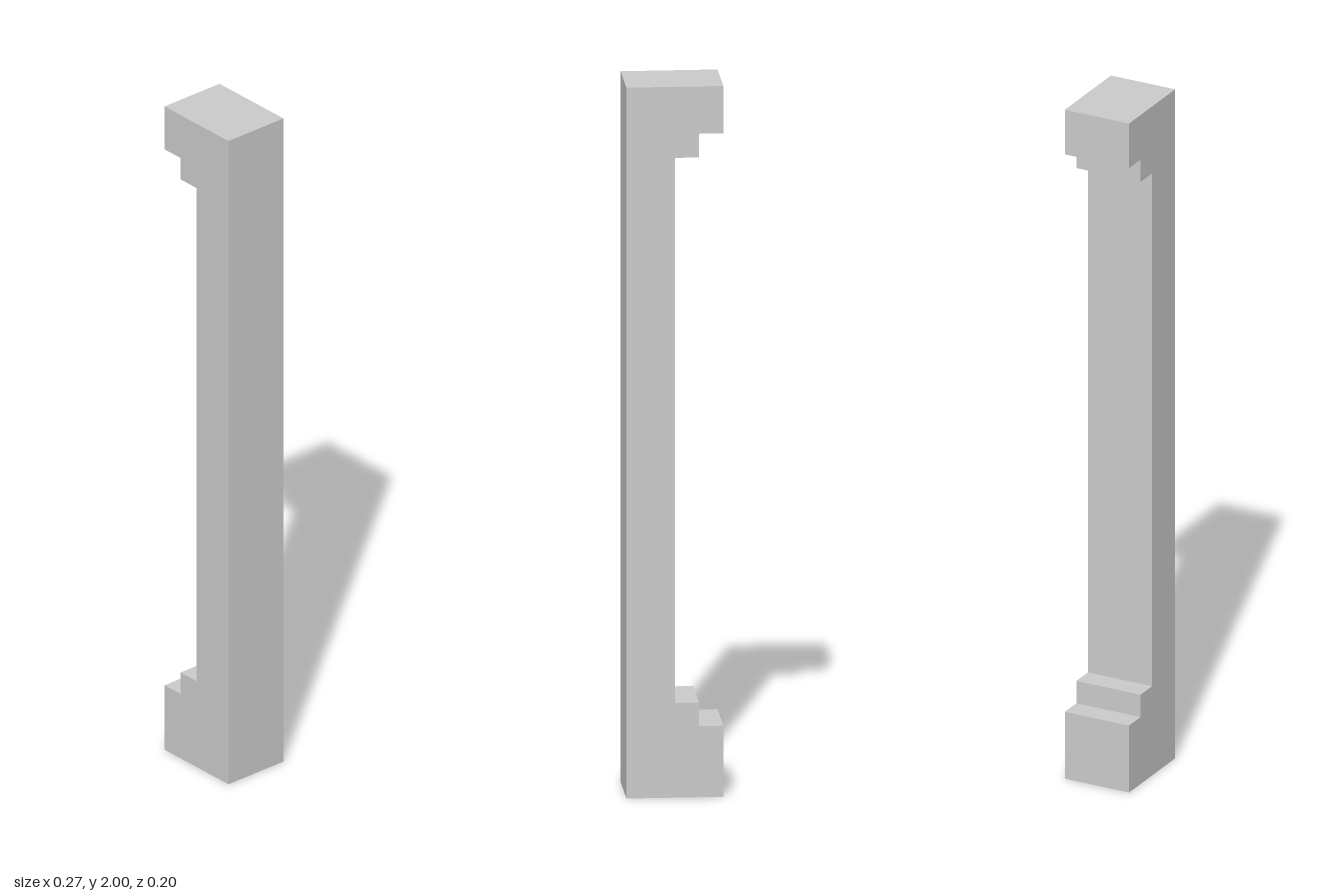
import * as THREE from 'three';

export function createModel() {
  const group = new THREE.Group();
  group.name = 'steppedPillar';

  // Everything sits on a grid of 1/15: outer face, step and shaft edge
  const u = 1 / 15;
  const depth = 3 * u;

  // Side outline, counter-clockwise from the bottom outer corner
  const outline = [
    [-2, 0], [2, 0], [2, 30], [-2, 30],
    [-2, 28], [-1, 28], [-1, 27], [0, 27], // stepped capital
    [0, 4], [-1, 4], [-1, 3], [-2, 3],     // stepped base
  ].map(([x, y]) => new THREE.Vector2(x * u, y * u));

  const geometry = new THREE.ExtrudeGeometry(new THREE.Shape(outline), {
    depth, bevelEnabled: false,
  });
  geometry.translate(0, 0, -depth / 2);

  const pillar = new THREE.Mesh(
    geometry,
    new THREE.MeshStandardMaterial({ color: 0xcccccc, flatShading: true }),
  );
  pillar.name = 'pillar';
  group.add(pillar);
  return group;
}
